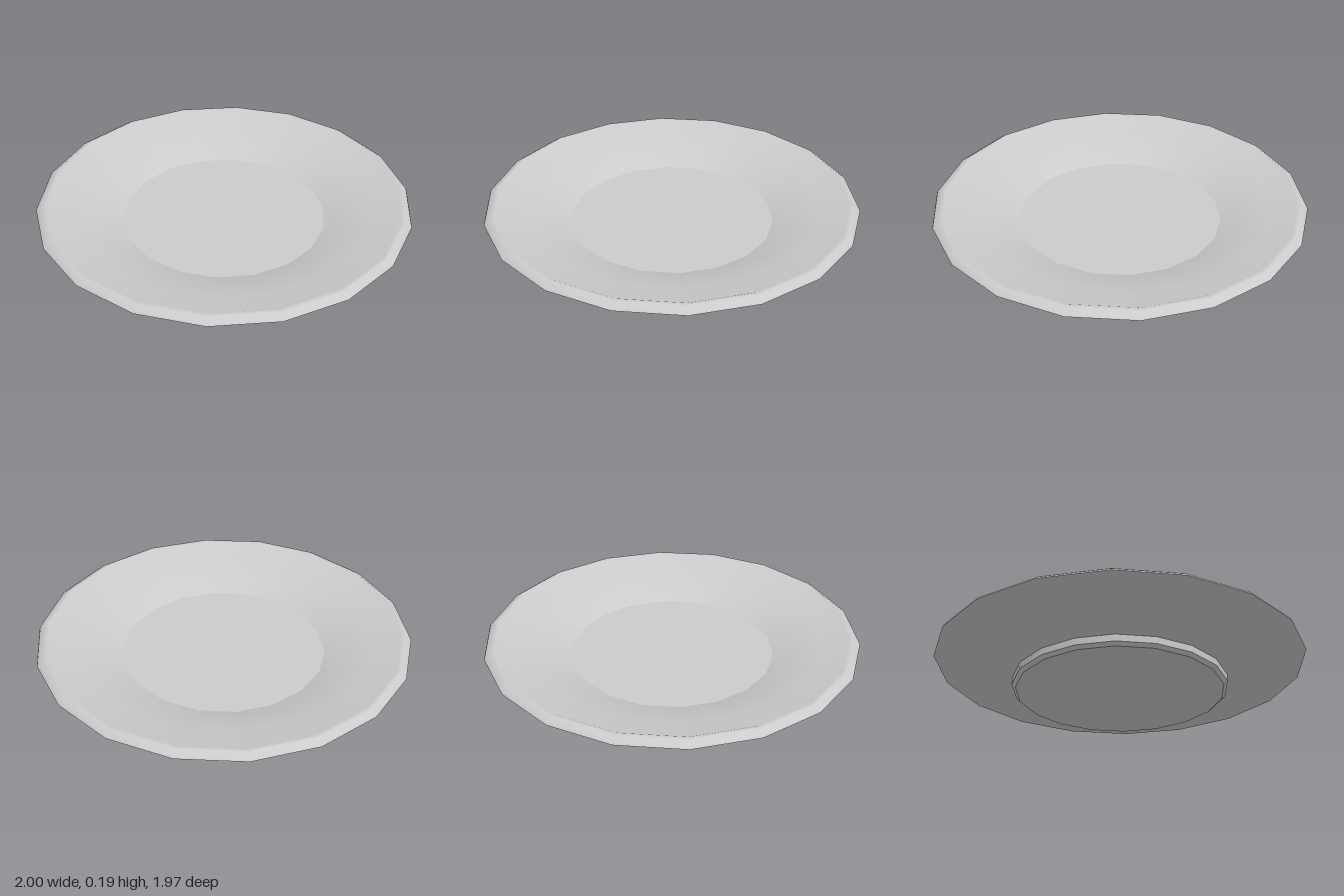
import * as THREE from 'three';

const SIDES = 18;
const material = new THREE.MeshStandardMaterial({ color: 0xcccccc });

export function createModel() {
  const plate = new THREE.Group();
  plate.name = 'plate';

  // Each section is turned on its own, so edges between sections stay sharp.
  const turn = (name, profile) => {
    const points = profile.map(([r, y]) => new THREE.Vector2(r, y));
    const mesh = new THREE.Mesh(new THREE.LatheGeometry(points, SIDES, Math.PI / 2), material);
    mesh.name = name;
    plate.add(mesh);
  };

  // Foot: flat base, small bevel, upright wall
  turn('footBase', [[0, 0.003], [0.56, 0.003]]);
  turn('footBevel', [[0.56, 0.003], [0.58, 0.02]]);
  turn('footWall', [[0.58, 0.02], [0.58, 0.057]]);

  // Flared underside
  turn('underside', [[0.58, 0.057], [0.69, 0.09], [1, 0.16]]);

  // Rounded rim running down the dished inner wall
  turn('rimAndInnerWall', [
    [1, 0.16], [0.995, 0.17], [0.965, 0.19], [0.945, 0.19], [0.925, 0.18],
    [0.8, 0.156], [0.67, 0.122], [0.545, 0.07],
  ]);

  // Flat eating surface
  turn('floor', [[0.545, 0.07], [0, 0.07]]);

  plate.children.forEach((part) => part.geometry.translate(0, -0.003, 0));
  return plate;
}
